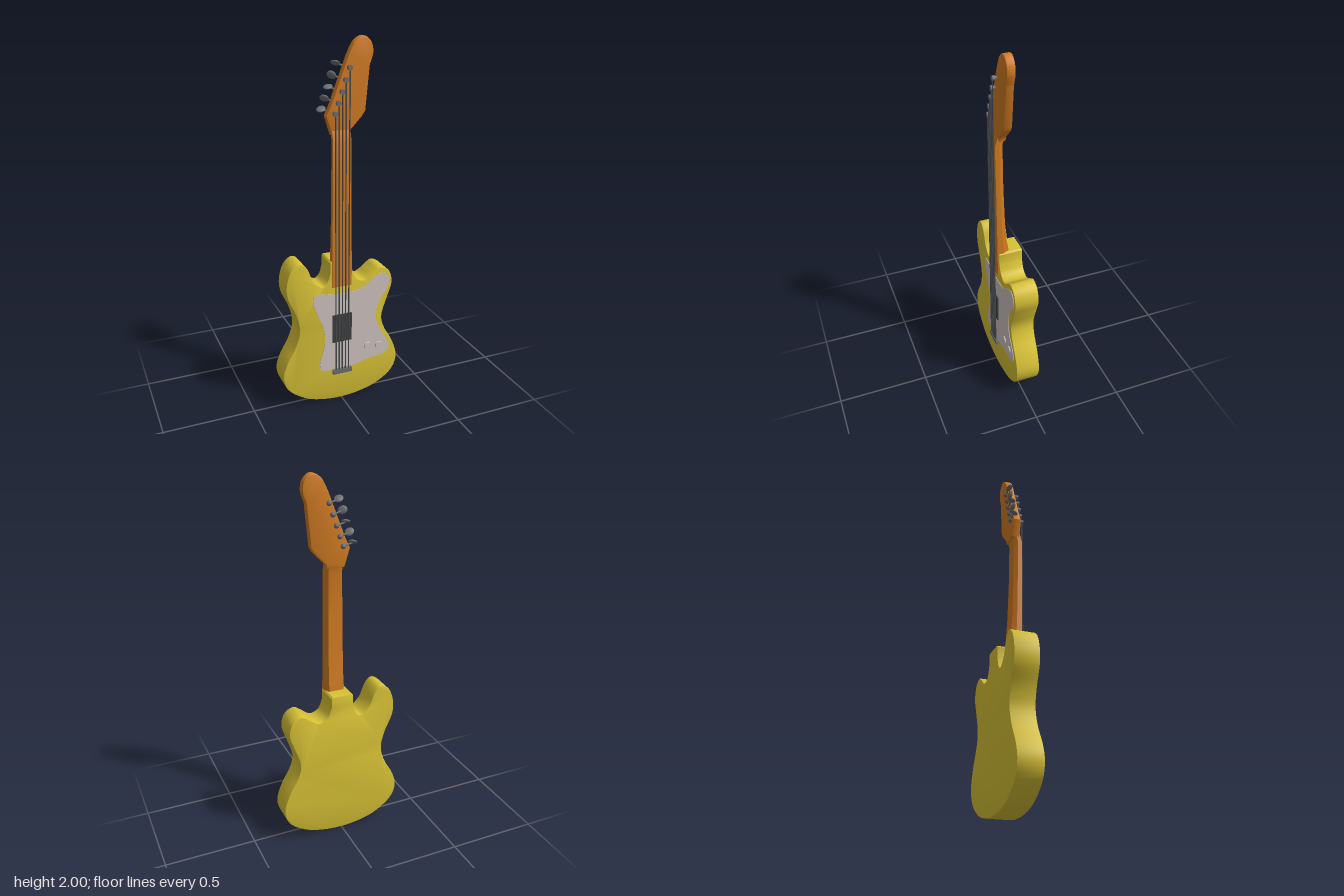
import * as THREE from 'three';
import { toCreasedNormals } from 'three/addons/utils/BufferGeometryUtils.js';

const mat = (name, color) => {
  const m = new THREE.MeshStandardMaterial({ color });
  m.name = name;
  return m;
};

export function createModel() {
  const yellow = mat('yellow paint', 0xd6c035);
  const orange = mat('orange wood', 0xd07a22);
  const plate = mat('pale plate', 0xcdc1bf);
  const metal = mat('grey metal', 0x6a6d70);
  const stringMat = mat('dark string', 0x484b4e);
  const black = mat('charcoal', 0x3c3f3f);

  const guitar = new THREE.Group();
  guitar.name = 'guitar';
  const add = (name, geo, material, x = 0, y = 0, z = 0, parent = guitar) => {
    const m = new THREE.Mesh(geo, material);
    m.name = name;
    m.position.set(x, y, z);
    parent.add(m);
    return m;
  };
  const vecs = (pts) => pts.map(([x, y]) => new THREE.Vector2(x, y));

  // Smooth closed outline through a few points
  const closedShape = (pts, n) => {
    const c = new THREE.CatmullRomCurve3(pts.map(([x, y]) => new THREE.Vector3(x, y, 0)), true, 'centripetal');
    return new THREE.Shape(c.getPoints(n).slice(0, -1).map((p) => new THREE.Vector2(p.x, p.y)));
  };
  // Slab between two depths with a narrow bevel inside the outline
  const slab = (shape, z0, z1, bevel, steps = 2) => {
    const g = new THREE.ExtrudeGeometry(shape, {
      depth: z1 - z0 - 2 * bevel, bevelEnabled: bevel > 0, bevelThickness: bevel,
      bevelSize: bevel, bevelOffset: -bevel, bevelSegments: steps, curveSegments: 8,
    });
    g.translate(0, 0, z0 + bevel);
    return toCreasedNormals(g, 0.6);
  };

  // Body: one smooth sweep around the outside, then the square neck socket
  const rim = [
    [0.06, 0.79], [0.085, 0.732], [0.135, 0.713], [0.19, 0.75], [0.23, 0.772], [0.282, 0.742],
    [0.3, 0.67], [0.272, 0.58], [0.242, 0.48], [0.258, 0.4], [0.312, 0.3], [0.34, 0.2],
    [0.308, 0.11], [0.21, 0.042], [0.1, 0.012], [0, 0.003], [-0.1, 0.011], [-0.21, 0.042],
    [-0.31, 0.115], [-0.342, 0.2], [-0.32, 0.285], [-0.268, 0.38], [-0.243, 0.475], [-0.262, 0.57],
    [-0.305, 0.67], [-0.311, 0.75], [-0.285, 0.83], [-0.235, 0.864], [-0.195, 0.83], [-0.163, 0.755],
    [-0.115, 0.713], [-0.082, 0.735], [-0.066, 0.79],
  ];
  const bodyShape = new THREE.Shape();
  bodyShape.moveTo(-0.066, 0.842);
  bodyShape.lineTo(-0.058, 0.85);
  bodyShape.lineTo(0.052, 0.85);
  bodyShape.lineTo(0.06, 0.842);
  bodyShape.lineTo(...rim[0]);
  new THREE.SplineCurve(vecs(rim)).getPoints(140).slice(1).forEach((p) => bodyShape.lineTo(p.x, p.y));
  add('body', slab(bodyShape, -0.079, 0.055, 0.005), yellow);

  // Pickguard
  add('pickguard', slab(closedShape([
    [-0.165, 0.652], [-0.14, 0.67], [-0.015, 0.655], [0.125, 0.67], [0.19, 0.718], [0.245, 0.738],
    [0.28, 0.705], [0.272, 0.645], [0.222, 0.57], [0.205, 0.49], [0.222, 0.41], [0.275, 0.32],
    [0.29, 0.27], [0.262, 0.235], [0.17, 0.222], [0.06, 0.198], [-0.04, 0.196], [-0.12, 0.205],
    [-0.13, 0.25], [-0.102, 0.36], [-0.106, 0.46], [-0.152, 0.58],
  ], 110), 0.05, 0.058, 0), plate);

  // Neck: lofted sections [y, left, right, front, back]
  const sections = [
    [0.7, -0.057, 0.055, 0.06, 0.0], [0.86, -0.057, 0.055, 0.061, -0.006],
    [0.92, -0.056, 0.053, 0.061, 0.004], [1.05, -0.055, 0.051, 0.062, 0.013],
    [1.25, -0.054, 0.048, 0.064, 0.02], [1.5, -0.053, 0.045, 0.067, 0.023],
    [1.55, -0.054, 0.045, 0.053, 0.011],
  ];
  const pos = [], idx = [], k = 6;
  sections.forEach(([y, l, r, f, b]) => {
    const c = 0.014, mid = b + (f - b) * 0.45;
    pos.push(l, y, f, r, y, f, r, y, mid, r - c, y, b, l + c, y, b, l, y, mid);
  });
  for (let s = 0; s < sections.length - 1; s++) {
    for (let i = 0; i < k; i++) {
      const a = s * k + i, b = s * k + (i + 1) % k;
      idx.push(a, b, b + k, a, b + k, a + k);
    }
  }
  const top = (sections.length - 1) * k;
  for (let i = 1; i < k - 1; i++) idx.push(0, i + 1, i, top, top + i, top + i + 1);
  const neck = new THREE.BufferGeometry();
  neck.setAttribute('position', new THREE.Float32BufferAttribute(pos, 3));
  neck.setIndex(idx);
  add('neck', toCreasedNormals(neck, 0.4), orange);

  // Headstock
  const head = new THREE.Shape(vecs([[-0.053, 1.525], [0.045, 1.525], [0.05, 1.548], [0.112, 1.612], [0.128, 1.64]]));
  head.lineTo(0.149, 1.86);
  head.splineThru(vecs([[0.167, 1.92], [0.155, 1.972], [0.115, 2.0], [0.068, 1.975], [0.035, 1.915]]));
  head.lineTo(-0.058, 1.675);
  head.lineTo(-0.083, 1.622);
  add('headstock', slab(head, 0.009, 0.053, 0.008), orange);

  // Tuners and strings
  const posts = [[-0.042, 1.635], [-0.024, 1.687], [-0.005, 1.742], [0.014, 1.798], [0.034, 1.855]];
  const twist = [0.5, -0.9, 0.35, -1.2, -0.6];
  const rod = new THREE.CylinderGeometry(0.009, 0.009, 0.08, 10).rotateX(Math.PI / 2);
  const cap = new THREE.CylinderGeometry(0.013, 0.013, 0.016, 12).rotateX(Math.PI / 2);
  const backCap = new THREE.SphereGeometry(0.014, 12, 8);
  const arm = new THREE.CylinderGeometry(0.005, 0.005, 0.065, 8).rotateZ(Math.PI / 2);
  const button = new THREE.SphereGeometry(0.025, 16, 10).scale(1, 0.85, 0.32);
  posts.forEach(([x, y], i) => {
    const tuner = new THREE.Group();
    tuner.name = 'tuner';
    tuner.position.set(x, y, 0);
    guitar.add(tuner);
    add('post', rod, metal, 0, 0, 0.034, tuner);
    add('postCap', cap, metal, 0, 0, 0.068, tuner);
    add('backCap', backCap, metal, 0, 0, 0.004, tuner);
    add('arm', arm, metal, -0.027, 0.008, 0.003, tuner).rotation.z = -0.3;
    add('button', button, metal, -0.051, 0.018, 0.006, tuner).rotation.set(twist[i] + Math.PI / 2, twist[i] * 0.5, -0.3);

    const sx = -0.039 + i * 0.0185;
    const a = new THREE.Vector3(sx, 0.185, 0.069), b = new THREE.Vector3(x, y, 0.072);
    const s = add('string', new THREE.CylinderGeometry(0.0035, 0.0035, a.distanceTo(b), 6), stringMat);
    s.position.copy(a).add(b).multiplyScalar(0.5);
    s.quaternion.setFromUnitVectors(new THREE.Vector3(0, 1, 0), b.clone().sub(a).normalize());
  });

  // Pickup, bridge and control knobs
  add('pickup', new THREE.BoxGeometry(0.112, 0.165, 0.016), black, -0.001, 0.452, 0.058);
  add('bridge', new THREE.BoxGeometry(0.112, 0.026, 0.024), metal, -0.001, 0.184, 0.062);
  const knob = new THREE.CylinderGeometry(0.02, 0.024, 0.012, 24).rotateX(Math.PI / 2);
  [[0.156, 0.305], [0.225, 0.295]].forEach(([x, y]) => add('controlKnob', knob, plate, x, y, 0.058));

  return guitar;
}
